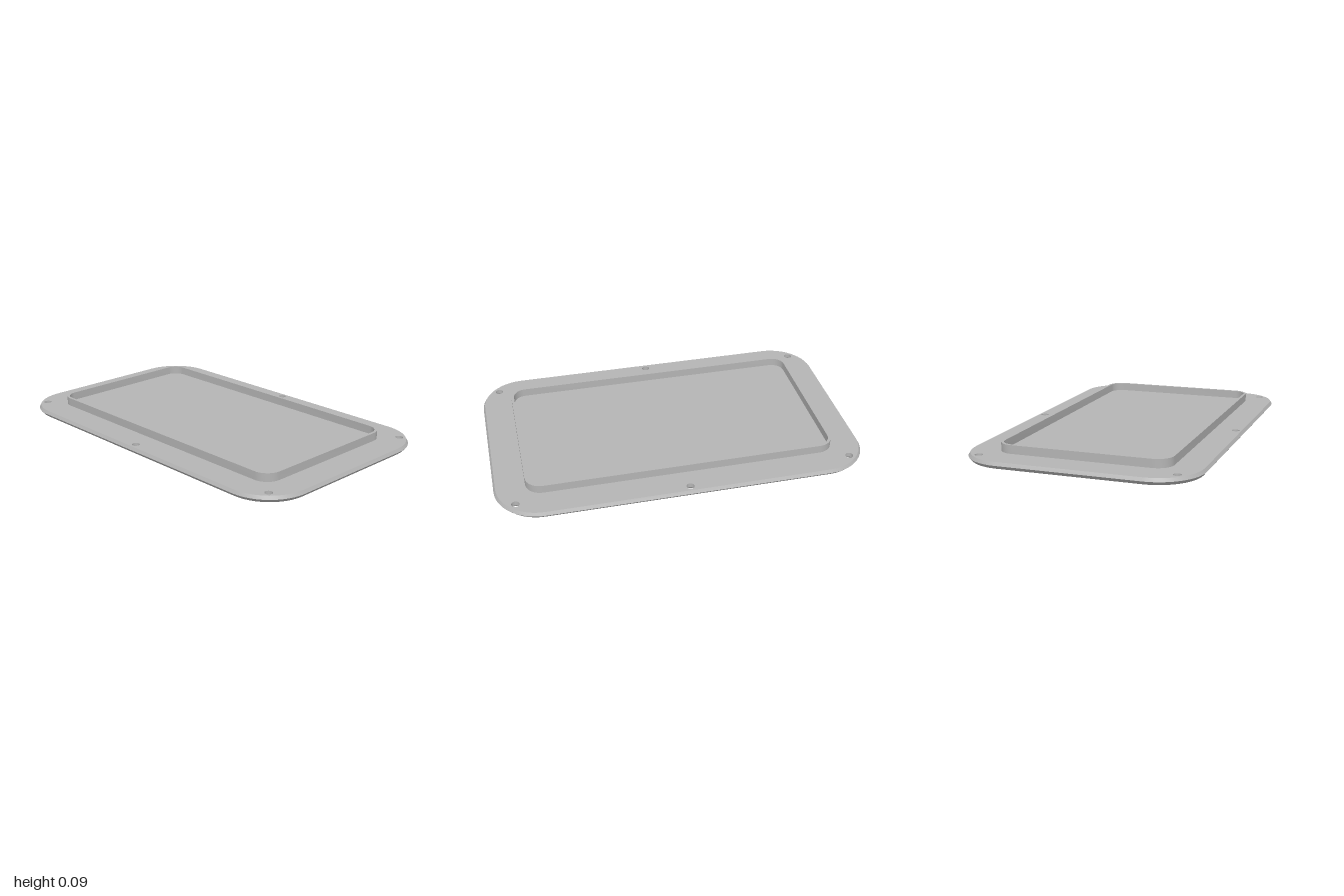
import * as THREE from 'three';
import { toCreasedNormals, mergeGeometries } from 'three/addons/utils/BufferGeometryUtils.js';

// Outlines are counter-clockwise lists of (x, z) points
function roundedRect(hx, hz, r, steps = 12) {
  const pts = [];
  [[1, 1], [-1, 1], [-1, -1], [1, -1]].forEach(([sx, sz], k) => {
    for (let i = 0; i <= steps; i++) {
      const a = (k + i / steps) * Math.PI / 2;
      pts.push(new THREE.Vector2(sx * (hx - r) + r * Math.cos(a), sz * (hz - r) + r * Math.sin(a)));
    }
  });
  return pts;
}

function circle(x, z, r, n = 24) {
  return Array.from({ length: n }, (_, i) => {
    const a = i / n * Math.PI * 2;
    return new THREE.Vector2(x + r * Math.cos(a), z + r * Math.sin(a));
  });
}

// Band between two outlines: lower first faces outward, upper first faces inward
function wall(a, ya, b, yb) {
  const n = a.length, pos = [], idx = [];
  a.forEach((p, i) => pos.push(p.x, ya, p.y, b[i].x, yb, b[i].y));
  for (let i = 0; i < n; i++) {
    const j = (i + 1) % n;
    idx.push(2 * i, 2 * i + 1, 2 * j + 1, 2 * i, 2 * j + 1, 2 * j);
  }
  const g = new THREE.BufferGeometry();
  g.setAttribute('position', new THREE.Float32BufferAttribute(pos, 3));
  g.setIndex(idx);
  return toCreasedNormals(g, 0.5);
}

// Flat face with holes; upward faces use outlines symmetric in z
function cap(outline, holes, y, up) {
  const shape = new THREE.Shape(outline);
  shape.holes = holes.map(h => new THREE.Path(h));
  const g = new THREE.ShapeGeometry(shape).rotateX(up ? -Math.PI / 2 : Math.PI / 2).translate(0, y, 0).toNonIndexed();
  g.deleteAttribute('uv');
  return g;
}

export function createModel() {
  const group = new THREE.Group();
  const grey = new THREE.MeshStandardMaterial({ color: 0xb4b4b4 });
  grey.name = 'grey';
  const add = (name, parts) => {
    const mesh = new THREE.Mesh(mergeGeometries(parts), grey);
    mesh.name = name;
    group.add(mesh);
  };
  const TOP = 0.05, MID = 0.033, LOW = 0.015;

  // Screw positions: four corners and the middle of each long side
  const screws = [[0.898, 0.513], [-0.898, 0.513], [-0.898, -0.513], [0.898, -0.513], [0, 0.572], [0, -0.572]];
  const bores = screws.map(([x, z]) => circle(x, z, 0.021));
  const sinks = screws.map(([x, z]) => circle(x, z, 0.027));

  // Plate with a bevelled edge
  const topEdge = roundedRect(0.99, 0.605, 0.23);
  const midEdge = roundedRect(1, 0.615, 0.24);
  const lowEdge = roundedRect(0.985, 0.6, 0.225);
  const panelBase = roundedRect(0.775, 0.39, 0.06);
  add('coverPlate', [
    cap(topEdge, bores, TOP, true),
    wall(midEdge, MID, topEdge, TOP),
    wall(lowEdge, LOW, midEdge, MID),
    cap(lowEdge, [...sinks, panelBase], LOW, false),
  ]);

  // Countersunk screw holes
  add('screwHoles', bores.flatMap((bore, i) => [
    wall(bore, TOP, bore, 0.025),
    wall(bore, 0.025, sinks[i], LOW),
  ]));

  // Upright rim on the inner side
  const rimOut = roundedRect(0.835, 0.455, 0.085);
  const rimIn = roundedRect(0.82, 0.44, 0.07);
  add('rim', [
    wall(rimOut, TOP, rimOut, 0.095),
    wall(rimIn, 0.095, rimIn, TOP),
    cap(rimOut, [rimIn], 0.095, true),
  ]);

  // Grip grooves and slide arrow sunk into the raised panel
  const grooves = [[0.72, 0.67], [0.65, 0.57], [0.58, 0.47]].map(([x0, x1]) => [
    [x0 + 0.015, 0.335], [x0 - 0.015, 0.335], [x1 - 0.015, -0.335], [x1 + 0.015, -0.335],
  ].map(p => new THREE.Vector2(...p)));
  const arrow = [[0, 0.12], [-0.085, 0.02], [-0.04, 0.02], [-0.04, -0.11], [0.04, -0.11], [0.04, 0.02], [0.085, 0.02]]
    .map(([x, z]) => new THREE.Vector2(x - 0.53, z));
  const panelFace = roundedRect(0.76, 0.375, 0.045);
  add('raisedPanel', [
    wall(panelFace, 0, panelBase, LOW),
    cap(panelFace, [...grooves, arrow], 0, false),
  ]);
  const recess = outline => [wall(outline, 0.007, outline, 0), cap(outline, [], 0.007, false)];
  add('gripGrooves', grooves.flatMap(recess));
  add('slideArrow', recess(arrow));
  return group;
}
